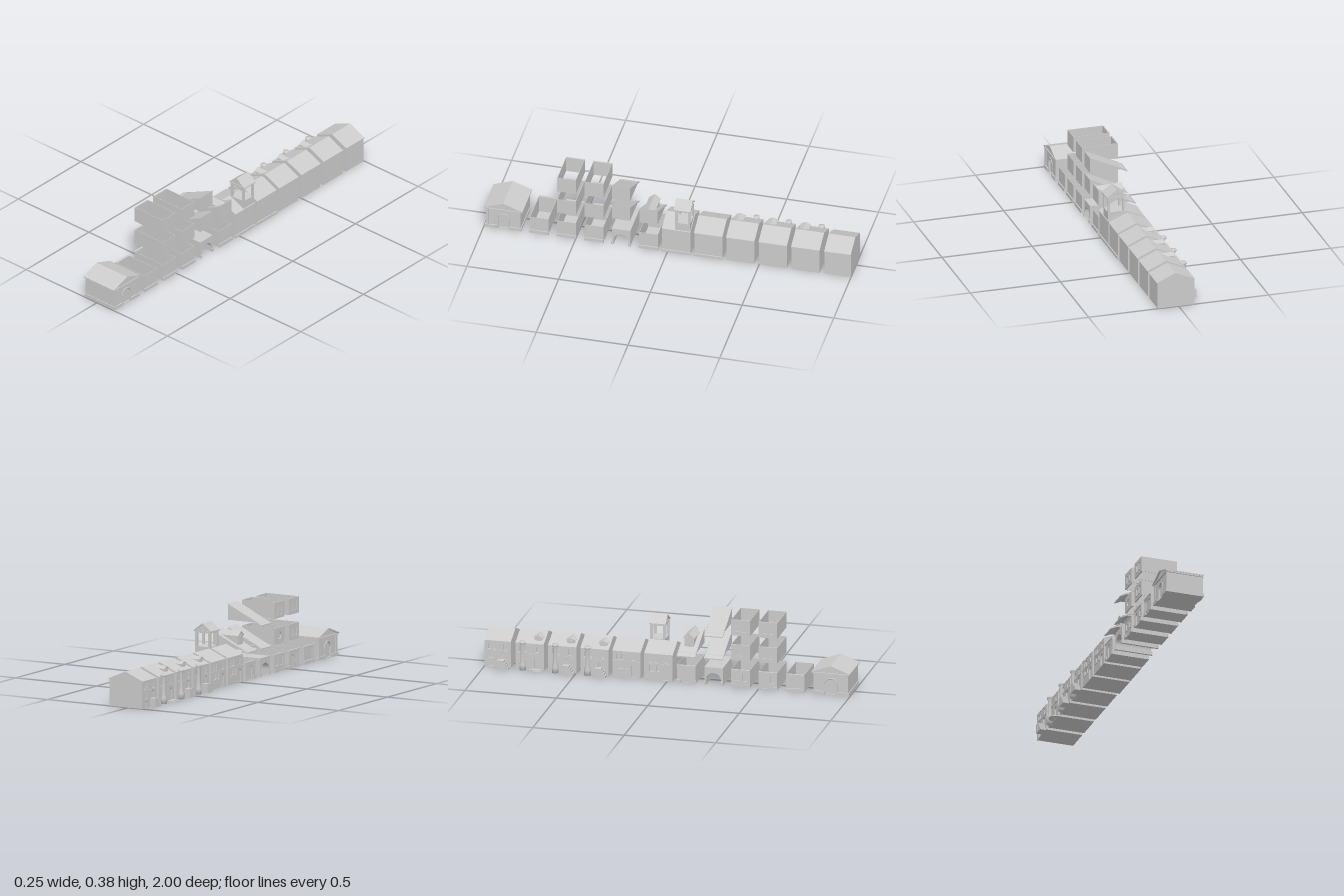
import * as THREE from 'three';

const mat = new THREE.MeshStandardMaterial({ color: 0xcccccc, side: THREE.DoubleSide, flatShading: true });
const smooth = new THREE.MeshStandardMaterial({ color: 0xcccccc, side: THREE.DoubleSide });
const FX = -0.087, BX = 0.114; // street face and rear face of the storey blocks

function add(parent, name, geo, m = mat) {
  const mesh = new THREE.Mesh(geo, m);
  mesh.name = name;
  parent.add(mesh);
  return mesh;
}
// Box given by its limits
function box(parent, name, x0, x1, y0, y1, z0, z1) {
  const g = new THREE.BoxGeometry(x1 - x0, y1 - y0, z1 - z0);
  return add(parent, name, g.translate((x0 + x1) / 2, (y0 + y1) / 2, (z0 + z1) / 2));
}
function poly(points) {
  return new THREE.Shape(points.map(p => new THREE.Vector2(p[0], p[1])));
}
// Outline in x,y pulled along z
function prismZ(parent, name, points, z0, z1) {
  const g = new THREE.ExtrudeGeometry(poly(points), { depth: z1 - z0, bevelEnabled: false });
  return add(parent, name, g.translate(0, 0, z0));
}
// Outline in z,y pulled along x
function prismX(parent, name, shape, x0, x1) {
  const g = new THREE.ExtrudeGeometry(shape, { depth: x1 - x0, bevelEnabled: false, curveSegments: 10 });
  return add(parent, name, g.rotateY(-Math.PI / 2).translate(x1, 0, 0));
}
// Opening outline: rect, arch or round; c = centre z, y = sill, w, h
function opening([type, c, y, w, h]) {
  const p = new THREE.Path(), r = w / 2;
  if (type === 'round') p.absarc(c, y + r, r, 0, Math.PI * 2, false);
  else {
    const top = type === 'arch' ? y + h - r : y + h;
    p.moveTo(c - r, y).lineTo(c + r, y).lineTo(c + r, top);
    if (type === 'arch') p.absarc(c, top, r, 0, Math.PI, false);
    else p.lineTo(c - r, top);
    p.closePath();
  }
  return p;
}
// Wall panel with openings and sills
function facade(parent, x0, x1, y0, y1, z0, z1, holes) {
  const s = poly([[z0, y0], [z1, y0], [z1, y1], [z0, y1]]);
  holes.forEach(h => s.holes.push(opening(h)));
  prismX(parent, 'facade', s, x0, x1);
  for (const [type, c, y, w] of holes)
    if (type === 'rect' && y - y0 > 0.015)
      box(parent, 'windowSill', x0 - 0.003, x0, y - 0.004, y, c - w / 2 - 0.003, c + w / 2 + 0.003);
}
const group = (parent, name) => {
  const g = new THREE.Group();
  g.name = name;
  parent.add(g);
  return g;
};

// Open-topped storey block
function storey(root, name, z0, z1, y0, y1, holes, ground) {
  const g = group(root, name), t = 0.002;
  box(g, 'rearWall', BX - t, BX, y0, y1, z0, z1);
  for (const z of [z0, z1 - t]) box(g, 'sideWall', FX, BX, y0, y1, z, z + t);
  facade(g, FX, FX + 0.006, y0, y1, z0, z1, holes);
  box(g, 'glazing', FX + 0.006, FX + 0.007, y0, y1, z0, z1);
  if (ground) {
    box(g, 'floor', FX, BX, 0, 0.002, z0, z1);
    box(g, 'rearPlinth', BX, BX + 0.006, 0, 0.018, z0 - 0.003, z1 + 0.003);
    for (const s of [z0 - 0.003, z1 - 0.022]) box(g, 'frontPlinth', FX - 0.005, FX, 0, 0.018, s, s + 0.025);
    box(g, 'fascia', FX - 0.005, FX, y1 - 0.008, y1, z0, z1);
  }
  return g;
}

// Lean-to roof, high at the rear
function shedRoof(root, name, z0, z1, base) {
  const g = group(root, name);
  prismZ(g, 'roofWedge', [[-0.076, base], [BX, base], [BX, base + 0.085], [FX, base - 0.008]], z0 + 0.002, z1 - 0.002);
  prismZ(g, 'roofSlab', [[-0.095, base - 0.018], [0.116, base + 0.084], [0.116, base + 0.088], [-0.095, base - 0.012]], z0, z1);
  return g;
}

// Gabled dormer, ridge along x
function dormer(parent, x0, x1, y0, eave, top, c, w) {
  const g = group(parent, 'dormer'), r = w / 2, o = r + 0.005;
  prismX(g, 'dormerBody', poly([[c - r, y0], [c + r, y0], [c + r, eave], [c, top - 0.004], [c - r, eave]]), x0 + 0.004, x1);
  prismX(g, 'dormerRoof', poly([[c - o, eave - 0.003], [c, top - 0.004], [c + o, eave - 0.003], [c + o, eave], [c, top], [c - o, eave]]), x0, x1);
  box(g, 'dormerWindow', x0 + 0.001, x0 + 0.004, y0 + 0.008, eave, c - r * 0.6, c + r * 0.6);
}

// Terraced house with gabled roof
function house(root, z0, z1, opts) {
  const g = group(root, 'house'), eave = 0.147, ridge = 0.193;
  prismZ(g, 'body', [[-0.08, 0], [0.116, 0], [0.116, eave], [0.018, ridge - 0.003], [-0.08, eave]], z0 + 0.001, z1 - 0.001);
  prismZ(g, 'roof', [[-0.088, eave - 0.003], [0.018, ridge - 0.005], [0.121, eave - 0.003],
    [0.121, eave + 0.001], [0.018, ridge], [-0.088, eave + 0.001]], z0, z1);
  const d = z1 - z0, at = f => z0 + d * f, holes = [];
  for (const f of [0.2, 0.36, 0.78]) holes.push(['rect', at(f), 0.1, 0.017, 0.032]);
  holes.push(['rect', at(0.28), 0.05, 0.026, 0.034]);
  if (opts.steps) {
    holes.push(['arch', at(0.74), 0.045, 0.028, 0.045]);
    holes.push(['arch', at(0.26), 0.004, 0.026, 0.034]);
  } else if (opts.round) holes.push(['arch', at(0.76), 0.004, 0.032, 0.07]);
  else {
    holes.push(['arch', at(0.76), 0.004, 0.032, 0.07]);
    holes.push(['rect', at(0.5), 0.05, 0.018, 0.034]);
  }
  facade(g, FX, -0.08, 0, eave - 0.002, z0, z1, holes);
  box(g, 'stringCourse', FX - 0.003, FX, 0.09, 0.094, z0, z1);
  if (opts.plinth) box(g, 'rearPlinth', 0.116, 0.122, 0, 0.015, z0 - 0.003, z1 + 0.003);
  if (opts.steps) {
    // Entrance stair rising along the wall to a landing
    const c = at(0.74);
    prismX(g, 'entranceSteps', poly([[c - 0.03, 0], [c + 0.03, 0], [c + 0.03, 0.012], [c + 0.022, 0.012], [c + 0.022, 0.024],
      [c + 0.014, 0.024], [c + 0.014, 0.036], [c + 0.006, 0.036], [c + 0.006, 0.048], [c - 0.03, 0.048]]), -0.12, FX);
    box(g, 'stairWall', -0.122, -0.118, 0, 0.05, c - 0.03, c - 0.002);
  }
  if (opts.round) {
    [0.036, 0.028].forEach((r, i) => {
      const s = new THREE.CylinderGeometry(r, r, 0.005, 16, 1, false, Math.PI, Math.PI);
      add(g, 'roundStep', s.translate(-0.09, 0.0025 + i * 0.005, at(0.76)));
    });
  }
  if (opts.chimney) {
    // Round chimney stack with flared foot and cap
    const pts = [[0, 0], [0.018, 0], [0.018, 0.03], [0.011, 0.055], [0.011, 0.14], [0.017, 0.148], [0.017, 0.158], [0, 0.16]];
    const l = new THREE.LatheGeometry(pts.map(p => new THREE.Vector2(p[0], p[1])), 14);
    add(g, 'chimneyStack', l.translate(-0.091, 0, at(0.26)), smooth);
    dormer(g, -0.064, 0.016, 0.15, 0.176, 0.188, at(0.76), 0.042);
  }
  return g;
}

// Open bell turret on the last house
function bellTurret(root) {
  const g = group(root, 'bellTurret'), x0 = 0.024, x1 = 0.117, z0 = -0.123, z1 = -0.04, p = 0.012;
  box(g, 'turretBase', x0, x1, 0.14, 0.195, z0, z1);
  for (const x of [x0, x1 - p]) for (const z of [z0, z1 - p]) box(g, 'post', x, x + p, 0.195, 0.27, z, z + p);
  for (const z of [z0, z1 - p]) box(g, 'beam', x0, x1, 0.268, 0.28, z, z + p);
  for (const x of [x0, x1 - p]) box(g, 'sideBeam', x, x + p, 0.268, 0.28, z0, z1);
  const m = (x0 + x1) / 2;
  prismZ(g, 'turretGable', [[x0, 0.28], [x1, 0.28], [m, 0.314]], z0 + 0.004, z1 - 0.004);
  prismZ(g, 'turretRoof', [[x0 - 0.007, 0.275], [m, 0.314], [x1 + 0.007, 0.275], [x1 + 0.007, 0.281], [m, 0.322], [x0 - 0.007, 0.281]],
    z0 - 0.004, z1 + 0.004);
}

// Gatehouse with pediments and arches at both ends
function gatehouse(root) {
  const g = group(root, 'gatehouse'), z0 = 0.8, z1 = 0.99, c = 0.895, x0 = -0.085, x1 = 0.115;
  box(g, 'body', x0 + 0.008, x1 - 0.008, 0, 0.118, z0, z1);
  for (const [a, b, s] of [[x0, x0 + 0.008, -1], [x1 - 0.008, x1, 1]]) {
    facade(g, a, b, 0, 0.118, z0, z1, [['arch', c, 0.003, 0.058, 0.086]]);
    const out = s < 0 ? a : b;
    const arch = new THREE.TorusGeometry(0.031, 0.004, 6, 14, Math.PI).rotateY(Math.PI / 2);
    add(g, 'archSurround', arch.translate(out, 0.06, c), smooth);
    for (const k of [-1, 1]) {
      box(g, 'archJamb', out - 0.004, out + 0.004, 0, 0.06, c + k * 0.031 - 0.004, c + k * 0.031 + 0.004);
      const pz = c + k * 0.087;
      box(g, 'pilaster', out - 0.004, out + 0.004, 0.018, 0.115, pz - 0.008, pz + 0.008);
      box(g, 'plinth', out - 0.007, out + 0.007, 0, 0.018, Math.min(c + k * 0.035, c + k * 0.1), Math.max(c + k * 0.035, c + k * 0.1));
    }
  }
  for (const z of [z0 - 0.004, z1]) box(g, 'sidePlinth', x0 - 0.005, x1 + 0.005, 0, 0.018, z, z + 0.004);
  box(g, 'cornice', x0 - 0.008, x1 + 0.005, 0.114, 0.121, z0 - 0.005, z1 + 0.005);
  prismX(g, 'pediment', poly([[z0, 0.12], [z1, 0.12], [c, 0.158]]), x0, x1);
  prismX(g, 'roof', poly([[z0 - 0.01, 0.119], [c, 0.156], [z1 + 0.01, 0.119], [z1 + 0.01, 0.125], [c, 0.163], [z0 - 0.01, 0.125]]),
    x0 - 0.01, x1 + 0.006);
}

export function createModel() {
  const root = new THREE.Group();
  root.name = 'townKit';
  gatehouse(root);

  // Row of houses
  house(root, -1, -0.855, { steps: true });
  house(root, -0.83, -0.675, { round: true, chimney: true });
  house(root, -0.652, -0.497, { steps: true, chimney: true });
  house(root, -0.475, -0.32, { steps: true, chimney: true });
  house(root, -0.3, -0.145, { plinth: true });
  house(root, -0.126, 0.03, { plinth: true });
  bellTurret(root);

  // Ground storeys
  const H = 0.098;
  storey(root, 'shopStorey', 0.65, 0.75, 0, H, [['rect', 0.7, 0.018, 0.075, 0.06]], true);
  storey(root, 'groundStorey', 0.5, 0.602, 0, H, [['arch', 0.53, 0.003, 0.03, 0.07], ['rect', 0.575, 0.035, 0.025, 0.04]], true);
  storey(root, 'groundStorey', 0.35, 0.452, 0, H, [['rect', 0.38, 0.035, 0.024, 0.04], ['rect', 0.425, 0.035, 0.024, 0.04]], true);
  storey(root, 'doorStorey', 0.053, 0.155, 0, H, [['arch', 0.104, 0.003, 0.036, 0.075]], true);

  // Ground storey with vaulted passage
  const a = 0.203, b = 0.304, c = (a + b) / 2, r = 0.04;
  const s = new THREE.Shape();
  s.moveTo(a, 0).lineTo(c - r, 0).lineTo(c - r, 0.028);
  s.absarc(c, 0.028, r, Math.PI, 0, true);
  s.lineTo(c + r, 0).lineTo(b, 0).lineTo(b, H).lineTo(a, H).closePath();
  prismX(root, 'passage', s, FX, BX);
  for (const [z0, z1] of [[a - 0.003, c - r], [c + r, b + 0.003]])
    for (const x of [FX - 0.005, BX]) box(root, 'passagePlinth', x, x + 0.005, 0, 0.018, z0, z1);

  // Upper storeys
  const pair = (z, y) => [-0.018, 0.018].map(o => ['rect', z + o, y, 0.02, 0.042]);
  storey(root, 'middleStorey', 0.5, 0.602, 0.15, 0.237, pair(0.551, 0.172));
  storey(root, 'middleStorey', 0.35, 0.452, 0.15, 0.237, [['round', 0.401, 0.174, 0.04]]);
  storey(root, 'topStorey', 0.5, 0.602, 0.288, 0.375, pair(0.551, 0.31));
  storey(root, 'topStorey', 0.35, 0.452, 0.288, 0.375, pair(0.401, 0.31));

  // Lean-to roofs
  shedRoof(root, 'tallShedRoof', 0.203, 0.305, 0.288);
  shedRoof(root, 'shedRoof', 0.203, 0.305, 0.163);
  const d = shedRoof(root, 'dormerShedRoof', 0.053, 0.155, 0.163);
  dormer(d, -0.03, 0.112, 0.175, 0.232, 0.256, 0.104, 0.052);
  return root;
}
